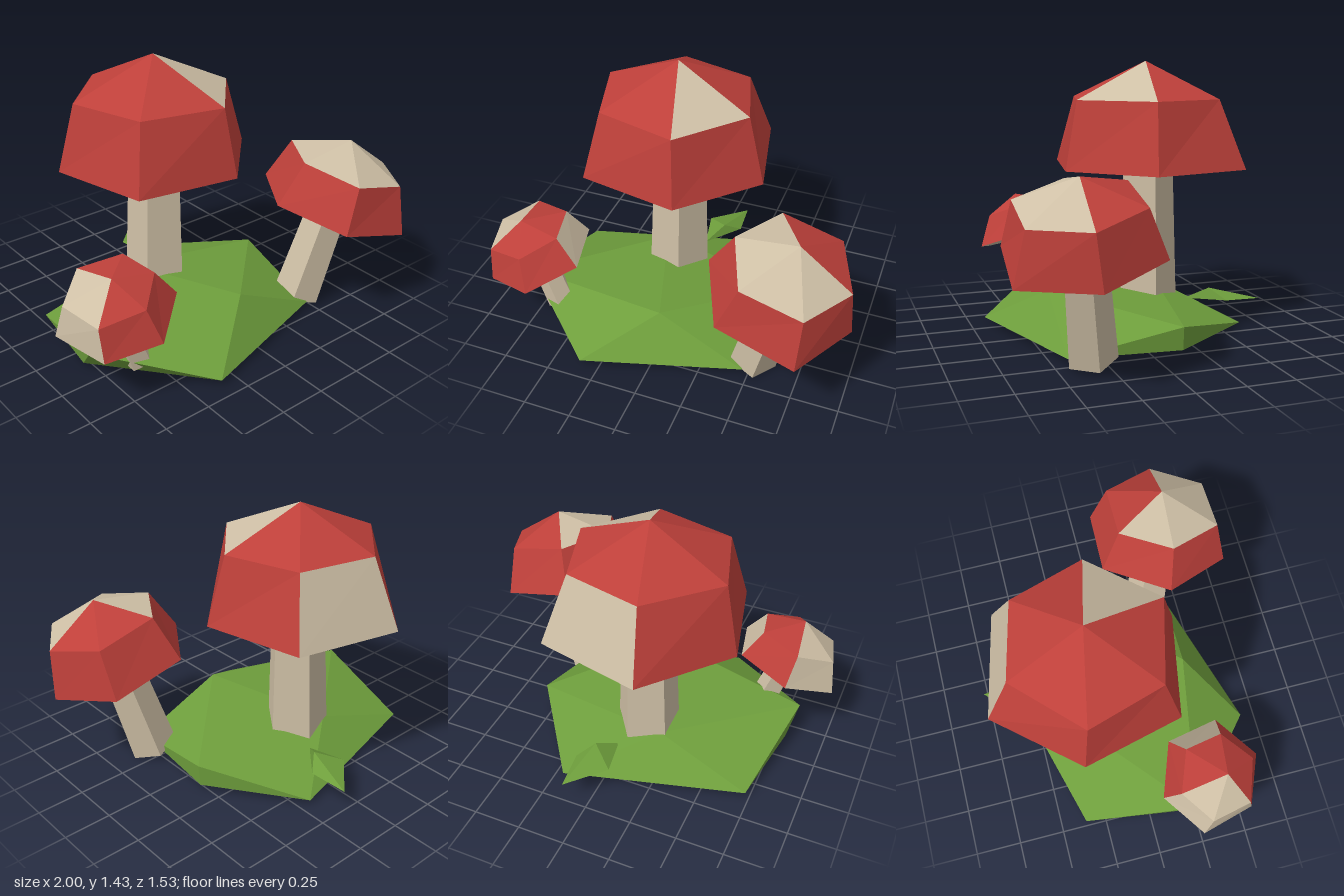
import * as THREE from 'three';

const red = new THREE.MeshStandardMaterial({ color: 0xbe403a });
const beige = new THREE.MeshStandardMaterial({ color: 0xcfc0a6 });
const green = new THREE.MeshStandardMaterial({ color: 0x6e9e3c, side: THREE.DoubleSide });
red.name = 'cap red';
beige.name = 'stem beige';
green.name = 'grass green';

// Flat-shaded geometry from lists of triangles, one group per list
function facets(...lists) {
  const geo = new THREE.BufferGeometry();
  geo.setAttribute('position', new THREE.Float32BufferAttribute(lists.flat(3), 3));
  let start = 0;
  lists.forEach((list, i) => {
    geo.addGroup(start, list.length * 3, i);
    start += list.length * 3;
  });
  geo.computeVertexNormals();
  return geo;
}

// Six-sided cap: apex, upper ring, rim, closed underside; some facets are beige
function makeCap({ apex, upper, rim, beigeTops, beigeSides }) {
  const reds = [], beiges = [];
  const centre = [0, 1, 2].map((k) => rim.reduce((sum, p) => sum + p[k], 0) / rim.length);
  for (let i = 0; i < 6; i++) {
    const j = (i + 1) % 6;
    (beigeTops.includes(i) ? beiges : reds).push([upper[i], upper[j], apex]);
    (beigeSides.includes(i) ? beiges : reds).push(
      [rim[i], rim[j], upper[j]], [rim[i], upper[j], upper[i]]);
    beiges.push([rim[j], rim[i], centre]);
  }
  const mesh = new THREE.Mesh(facets(reds, beiges), [red, beige]);
  mesh.name = 'cap';
  return mesh;
}

// Five-sided stem running between two points
function makeStem({ from, to, rBottom, rTop }) {
  const a = new THREE.Vector3(...from), b = new THREE.Vector3(...to);
  const axis = b.clone().sub(a);
  const geo = new THREE.CylinderGeometry(rTop, rBottom, axis.length(), 5, 1, false, Math.PI / 2)
    .toNonIndexed();
  geo.computeVertexNormals();
  const mesh = new THREE.Mesh(geo, beige);
  mesh.name = 'stem';
  mesh.position.copy(a).add(b).multiplyScalar(0.5);
  mesh.quaternion.setFromUnitVectors(new THREE.Vector3(0, 1, 0), axis.normalize());
  return mesh;
}

// Rings run left, front, right, back
const level = (y, points) => points.map(([x, z]) => [x, y, z]);
const mushrooms = {
  largeMushroom: {
    stem: { from: [-0.11, 0.02, -0.18], to: [-0.1, 0.85, -0.18], rBottom: 0.175, rTop: 0.145 },
    cap: {
      apex: [-0.11, 1.395, -0.18],
      upper: level(1.2, [[-0.535, -0.27], [-0.415, 0.13], [0.01, 0.24], [0.3, -0.09], [0.18, -0.48], [-0.22, -0.58]]),
      rim: level(0.84, [[-0.615, -0.31], [-0.49, 0.21], [0.04, 0.31], [0.395, -0.06], [0.28, -0.59], [-0.26, -0.72]]),
      beigeTops: [2], beigeSides: [4],
    },
  },
  mediumMushroom: {
    stem: { from: [0.495, 0, 0.32], to: [0.635, 0.56, 0.4], rBottom: 0.13, rTop: 0.11 },
    cap: {
      apex: [0.72, 0.91, 0.44],
      upper: [[0.4, 0.86, 0.42], [0.51, 0.79, 0.7], [0.82, 0.71, 0.71], [0.985, 0.71, 0.45], [0.87, 0.78, 0.17], [0.56, 0.86, 0.16]],
      rim: [[0.26, 0.645, 0.38], [0.41, 0.56, 0.73], [0.81, 0.45, 0.765], [1, 0.45, 0.42], [0.86, 0.54, 0.07], [0.48, 0.64, 0.05]],
      beigeTops: [5, 0, 1, 2], beigeSides: [],
    },
  },
  smallMushroom: {
    stem: { from: [-0.61, 0.06, 0.34], to: [-0.72, 0.38, 0.34], rBottom: 0.078, rTop: 0.07 },
    cap: {
      apex: [-0.78, 0.61, 0.39],
      upper: [[-0.975, 0.48, 0.27], [-0.925, 0.45, 0.49], [-0.71, 0.5, 0.56], [-0.56, 0.575, 0.42], [-0.6, 0.6, 0.22], [-0.81, 0.56, 0.14]],
      rim: [[-1, 0.305, 0.23], [-0.92, 0.275, 0.52], [-0.66, 0.33, 0.62], [-0.445, 0.43, 0.44], [-0.505, 0.46, 0.16], [-0.78, 0.4, 0.06]],
      beigeTops: [5, 0], beigeSides: [5, 0, 3],
    },
  },
};

// Faceted mound, open underneath
function makeMound() {
  const front = [-0.35, 0, 0.67], frontRight = [0.47, 0, 0.43], right = [0.53, 0, -0.14];
  const back = [0.2, 0, -0.61], backLeft = [-0.73, 0, -0.36], left = [-0.8, 0, 0.13];
  const rightTop = [0.54, 0.12, -0.14], leftTop = [-0.835, 0.14, 0.25];
  const peak = [0, 0.22, 0.4], backTop = [-0.22, 0.165, -0.28];
  const mesh = new THREE.Mesh(facets([
    [left, front, leftTop], [front, peak, leftTop], [front, frontRight, peak],
    [frontRight, rightTop, peak], [frontRight, right, rightTop], [right, back, rightTop],
    [peak, rightTop, backTop], [rightTop, back, backTop], [back, backLeft, backTop],
    [backLeft, leftTop, backTop], [leftTop, peak, backTop], [backLeft, left, leftTop],
  ]), green);
  mesh.name = 'grassMound';
  return mesh;
}

// Folded leaf lying at the back of the mound
function makeLeaf() {
  const base = [-0.02, 0.1, -0.38], ridge = [0.06, 0.168, -0.49], tip = [0.12, 0.1, -0.765];
  const sideA = [-0.06, 0.115, -0.59], sideB = [0.14, 0.11, -0.56];
  const mesh = new THREE.Mesh(facets([
    [base, ridge, sideA], [sideA, ridge, tip], [base, sideB, ridge], [sideB, tip, ridge],
  ]), green);
  mesh.name = 'leaf';
  return mesh;
}

export function createModel() {
  const model = new THREE.Group();
  model.name = 'mushroomPatch';
  model.add(makeMound(), makeLeaf());
  for (const [name, { stem, cap }] of Object.entries(mushrooms)) {
    const mushroom = new THREE.Group();
    mushroom.name = name;
    mushroom.add(makeStem(stem), makeCap(cap));
    model.add(mushroom);
  }
  return model;
}
